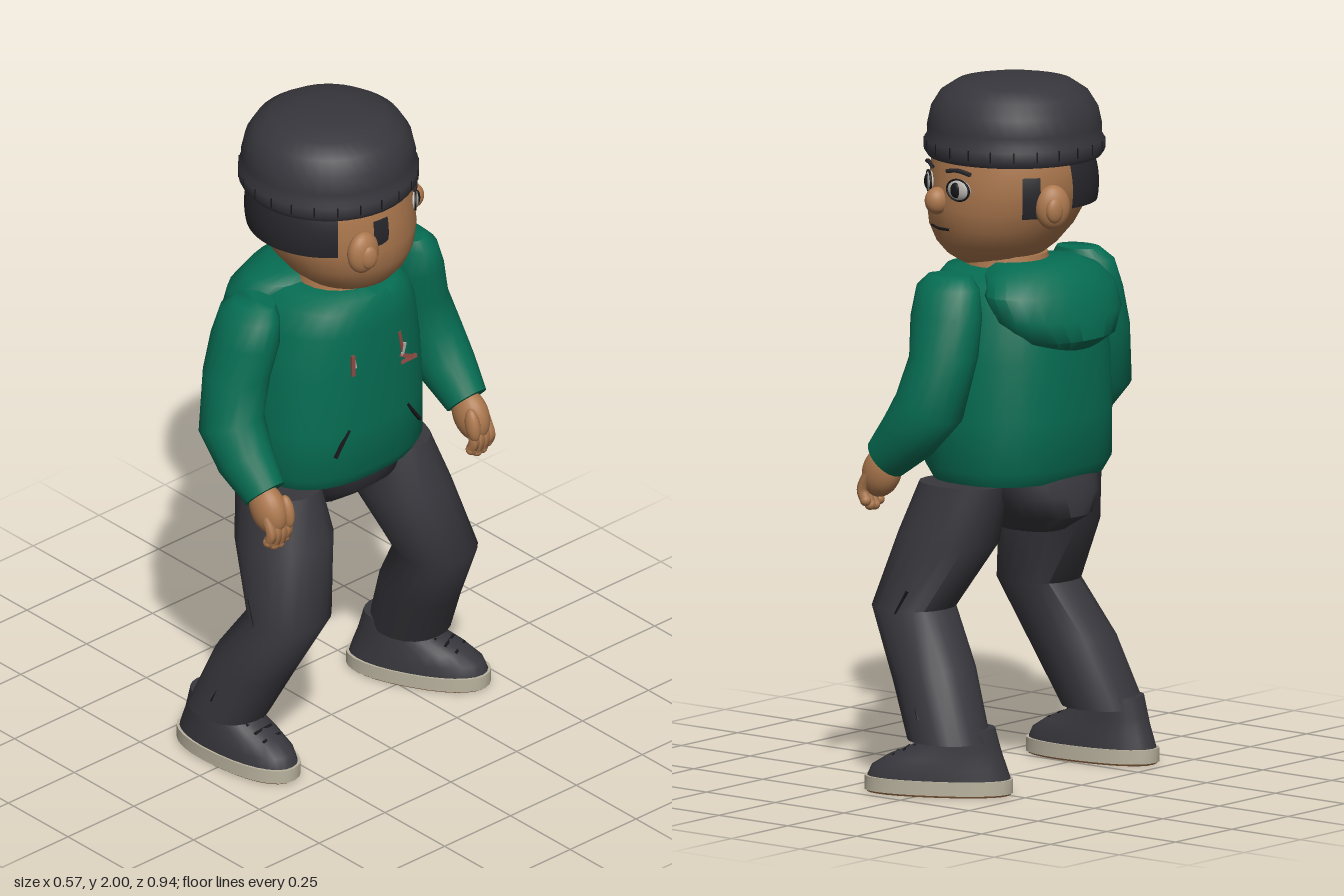
import * as THREE from 'three';
import { toCreasedNormals } from 'three/addons/utils/BufferGeometryUtils.js';

const mat = (name, color) => {
  const m = new THREE.MeshStandardMaterial({ color });
  m.name = name;
  return m;
};

// Closed skin over rings [x, y, z, radiusX, radiusZ, tiltAboutZ], listed from bottom to top
function loft(rings, sides = 20, power = 2, crease = 0.9) {
  const pos = [], idx = [];
  const round = (v) => Math.sign(v) * Math.pow(Math.abs(v), 2 / power);
  rings.forEach(([x, y, z, rx, rz, tilt = 0]) => {
    for (let j = 0; j < sides; j++) {
      const a = (j / sides) * Math.PI * 2, u = round(Math.cos(a)) * rx;
      pos.push(x + u * Math.cos(tilt), y + u * Math.sin(tilt), z + round(Math.sin(a)) * rz);
    }
  });
  const bottom = rings.length * sides, top = bottom + 1, last = (rings.length - 1) * sides;
  pos.push(...rings[0].slice(0, 3), ...rings[rings.length - 1].slice(0, 3));
  for (let j = 0; j < sides; j++) {
    const k = (j + 1) % sides;
    for (let i = 0; i < last; i += sides) {
      idx.push(i + j, i + sides + j, i + k, i + k, i + sides + j, i + sides + k);
    }
    idx.push(bottom, j, k, top, last + k, last + j);
  }
  const g = new THREE.BufferGeometry();
  g.setAttribute('position', new THREE.Float32BufferAttribute(pos, 3));
  g.setIndex(idx);
  return toCreasedNormals(g, crease);
}

function add(parent, name, geometry, material, p = [0, 0, 0], r = [0, 0, 0], s = [1, 1, 1]) {
  const m = new THREE.Mesh(geometry, material);
  m.name = name;
  m.position.set(...p);
  m.rotation.set(...r);
  m.scale.set(...s);
  parent.add(m);
}

const ball = new THREE.SphereGeometry(1, 24, 16);
const tube = (pts, r) => new THREE.TubeGeometry(
  new THREE.CatmullRomCurve3(pts.map((p) => new THREE.Vector3(...p))), 16, r, 6);

export function createModel() {
  const green = mat('green fabric', 0x066d53), pants = mat('charcoal fabric', 0x37373d);
  const knit = mat('charcoal knit', 0x36363c), skin = mat('skin', 0xac784e);
  const hair = mat('dark hair', 0x27272c), line = mat('dark line', 0x17171a);
  const rubber = mat('pale rubber', 0xb9b29e), white = mat('eye white', 0xb8b5b0);
  const red = mat('dull red', 0x8c4a42);
  hair.side = THREE.DoubleSide;
  const model = new THREE.Group();
  model.name = 'figure';

  // Torso, hood, neck and seat of the trousers
  add(model, 'sweater', loft([
    [-0.02, 0.87, 0, 0.2, 0.255], [-0.02, 0.91, 0, 0.223, 0.275], [-0.02, 1.05, 0, 0.228, 0.272],
    [-0.02, 1.22, 0, 0.228, 0.26], [-0.015, 1.36, 0, 0.222, 0.235], [-0.01, 1.43, 0, 0.212, 0.205],
    [-0.01, 1.46, 0, 0.195, 0.165], [0, 1.468, 0, 0.13, 0.12]], 32, 2.5), green);
  add(model, 'hood', loft([
    [-0.2, 1.245, 0.01, 0.045, 0.1], [-0.187, 1.28, 0.01, 0.102, 0.18], [-0.155, 1.34, 0.01, 0.132, 0.235],
    [-0.125, 1.41, 0.01, 0.133, 0.245], [-0.095, 1.46, 0.01, 0.13, 0.2], [-0.08, 1.485, 0.01, 0.1, 0.14]], 24), green);
  add(model, 'neck', new THREE.CylinderGeometry(0.115, 0.13, 0.09, 20), skin, [0.02, 1.455, 0]);
  add(model, 'trouserSeat', loft([
    [-0.07, 0.72, 0, 0.1, 0.075], [-0.075, 0.77, 0, 0.175, 0.125],
    [-0.04, 0.83, 0, 0.212, 0.19], [-0.02, 0.895, 0, 0.2, 0.22]], 24, 2.4), pants);

  for (const s of [1, -1]) {
    const side = s > 0 ? 'far' : 'near';
    // Bent leg with a side seam
    const dz = s > 0 ? 0 : 0.015;
    const leg = new THREE.Group();
    leg.name = side + 'Leg';
    leg.position.z = dz;
    model.add(leg);
    add(leg, 'trouserLeg', loft([
      [-0.042, 0.155, s * 0.35, 0.118, 0.108], [0.035, 0.33, s * 0.32, 0.115, 0.115, -0.25],
      [0.138, 0.51, s * 0.285, 0.115, 0.117], [0.055, 0.71, s * 0.23, 0.145, 0.13, 0.1],
      [0.015, 0.865, s * 0.215, 0.135, 0.1]], 20, 2.2), pants);
    const seam = new THREE.CurvePath();
    const a = new THREE.Vector3(0.08, 0.57, s * 0.386), b = new THREE.Vector3(0.115, 0.5, s * 0.397);
    const c = new THREE.Vector3(-0.01, 0.22, s * 0.446);
    seam.add(new THREE.LineCurve3(a, b));
    seam.add(new THREE.LineCurve3(b, c));
    add(leg, 'sideSeam', new THREE.TubeGeometry(seam, 20, 0.005, 5), line);

    // Shoe
    const shoe = new THREE.Group();
    shoe.name = side + 'Shoe';
    shoe.position.set(-0.007, 0, s > 0 ? 0.346 : -0.337);
    shoe.rotation.y = s > 0 ? 0.1 : 0.48;
    model.add(shoe);
    add(shoe, 'soleBottom', loft([[0, 0, 0, 0.205, 0.086], [0, 0.006, 0, 0.21, 0.09]], 28, 2.3), skin);
    add(shoe, 'soleSide', loft([[0, 0.006, 0, 0.213, 0.093], [0, 0.046, 0, 0.213, 0.093]], 28, 2.3), rubber);
    add(shoe, 'upper', loft([
      [0, 0.045, 0, 0.206, 0.088], [-0.002, 0.075, 0, 0.194, 0.086], [-0.02, 0.105, 0, 0.165, 0.08],
      [-0.05, 0.135, 0, 0.125, 0.076], [-0.065, 0.19, 0, 0.095, 0.072]], 28, 2.2), pants);
    for (let i = 0; i < 3; i++) {
      add(shoe, 'lace', new THREE.BoxGeometry(0.008, 0.008, 0.07), line,
        [0.06 + i * 0.032, 0.138 - i * 0.015, 0], [0, 0, -0.5]);
    }

    // Sleeve and hand
    const arm = new THREE.Group();
    arm.name = side + 'Arm';
    arm.position.z = dz * 0.7;
    model.add(arm);
    add(arm, 'sleeve', loft([
      [0.15, 0.945, s * 0.388, 0.068, 0.06, 0.8], [0.07, 1.02, s * 0.388, 0.088, 0.08, 0.7],
      [0, 1.11, s * 0.38, 0.105, 0.09, 0.4], [-0.02, 1.25, s * 0.342, 0.1, 0.093],
      [-0.01, 1.36, s * 0.318, 0.11, 0.086], [-0.005, 1.44, s * 0.305, 0.1, 0.07],
      [0, 1.472, s * 0.292, 0.068, 0.05]], 20), green);
    add(arm, 'palm', ball, skin, [0.165, 0.905, s * 0.39], [0, 0, 0.45], [0.06, 0.078, 0.046]);
    for (let i = 0; i < 4; i++) {
      const z = s * (0.36 + i * 0.02), end = [0.012, 0, 0.002, 0.016][i];
      add(arm, 'finger', tube([[0.19, 0.9, z], [0.212, 0.85, z], [0.2, 0.805 + end, z]], 0.016), skin);
      add(arm, 'fingerTip', ball, skin, [0.2, 0.805 + end, z], [0, 0, 0], [0.016, 0.016, 0.016]);
    }
    add(arm, 'thumb', ball, skin, [0.208, 0.9, s * 0.358], [0, 0, 0.2], [0.024, 0.05, 0.02]);

    // Pocket slits
    add(model, 'pocketSlit', new THREE.BoxGeometry(0.009, 0.088, 0.008), line,
      [0.194, 1.025, s * 0.135], [-s * 0.62, -s * 0.25, 0]);
  }

  // Small painted marks on the chest
  const mark = (m, y, z, h, tilt) => add(model, 'chestMark',
    new THREE.BoxGeometry(0.009, h, 0.011), m, [0.2, y, z], [tilt, -z * 2, 0]);
  mark(red, 1.27, 0.1, 0.065, 0);
  mark(white, 1.275, 0.096, 0.03, 0.2);
  mark(red, 1.28, -0.08, 0.07, 0.2);
  mark(white, 1.25, -0.09, 0.04, -0.3);
  mark(red, 1.225, -0.1, 0.055, 1.1);
  mark(red, 1.21, -0.11, 0.06, 1.6);

  // Head, built facing its own +z and then turned; the jaw sits forward of the crown
  const head = new THREE.Group();
  head.name = 'head';
  head.position.set(0.012, 0, 0.022);
  head.rotation.y = 2.77;
  model.add(head);
  const skull = [[1.457, 0.05], [1.47, 0.09], [1.495, 0.135], [1.53, 0.172], [1.58, 0.204],
    [1.64, 0.224], [1.7, 0.23], [1.76, 0.228], [1.82, 0.215]];
  add(head, 'skull', loft(skull.map(([y, r]) => {
    const t = Math.max(0, (1.72 - y) / 0.26);
    return [-0.035 * t, y, 0.008 + 0.045 * t, r, r];
  }), 32), skin);
  add(head, 'backHair', new THREE.SphereGeometry(0.238, 28, 12, Math.PI + 0.25, Math.PI - 0.5, 0.9, 0.87),
    hair, [0, 1.695, 0]);

  // Knitted cap with a ribbed cuff
  const profile = [[0.22, 1.775], [0.245, 1.775], [0.255, 1.79], [0.255, 1.82], [0.246, 1.835], [0.247, 1.86],
    [0.236, 1.91], [0.21, 1.952], [0.165, 1.982], [0.09, 1.997], [0, 2]];
  add(head, 'cap', toCreasedNormals(new THREE.LatheGeometry(
    profile.map((p) => new THREE.Vector2(...p)), 40), 0.7), knit);
  for (let i = 0; i < 24; i++) {
    const a = (i / 24) * Math.PI * 2;
    add(head, 'cuffRib', new THREE.BoxGeometry(0.004, 0.03, 0.006), line,
      [Math.sin(a) * 0.253, 1.807, Math.cos(a) * 0.253], [0, a, 0]);
  }

  for (const s of [1, -1]) {
    // Ear and sideburn
    add(head, 'ear', ball, skin, [s * 0.24, 1.66, 0.012], [0, s * -0.3, 0], [0.034, 0.064, 0.05]);
    add(head, 'earInner', ball, skin, [s * 0.266, 1.655, 0.02], [0, 0, 0], [0.016, 0.036, 0.026]);
    add(head, 'sideburn', new THREE.SphereGeometry(0.24, 6, 8, s > 0 ? Math.PI - 0.42 : 0.2, 0.22, 1.36, 0.5),
      hair, [0, 1.695, 0]);
    // Eye, lid line and brow
    const eye = new THREE.Group();
    eye.name = 'eye';
    eye.position.set(s * 0.081, 1.703, 0.224);
    eye.rotation.y = s * 0.36;
    head.add(eye);
    add(eye, 'eyeWhite', ball, white, [0, 0, 0], [0, 0, 0], [0.041, 0.03, 0.016]);
    add(eye, 'iris', ball, line, [s * -0.004, 0, 0.01], [0, 0, 0], [0.019, 0.022, 0.01]);
    add(eye, 'lidLine', new THREE.TorusGeometry(0.04, 0.0035, 6, 28), line, [0, 0, 0.006], [0, 0, 0], [1, 0.76, 1]);
    add(eye, 'brow', tube([[-0.042, 0.05, 0.004], [0, 0.056, 0.006], [0.042, 0.048, 0.002]], 0.0065), hair);
  }

  // Nose and mouth
  add(head, 'nose', ball, skin, [0, 1.662, 0.25], [0, 0, 0], [0.032, 0.039, 0.036]);
  add(head, 'mouth', tube([[-0.06, 1.582, 0.232], [-0.012, 1.58, 0.238], [0.036, 1.582, 0.229]], 0.004), line);
  return model;
}
